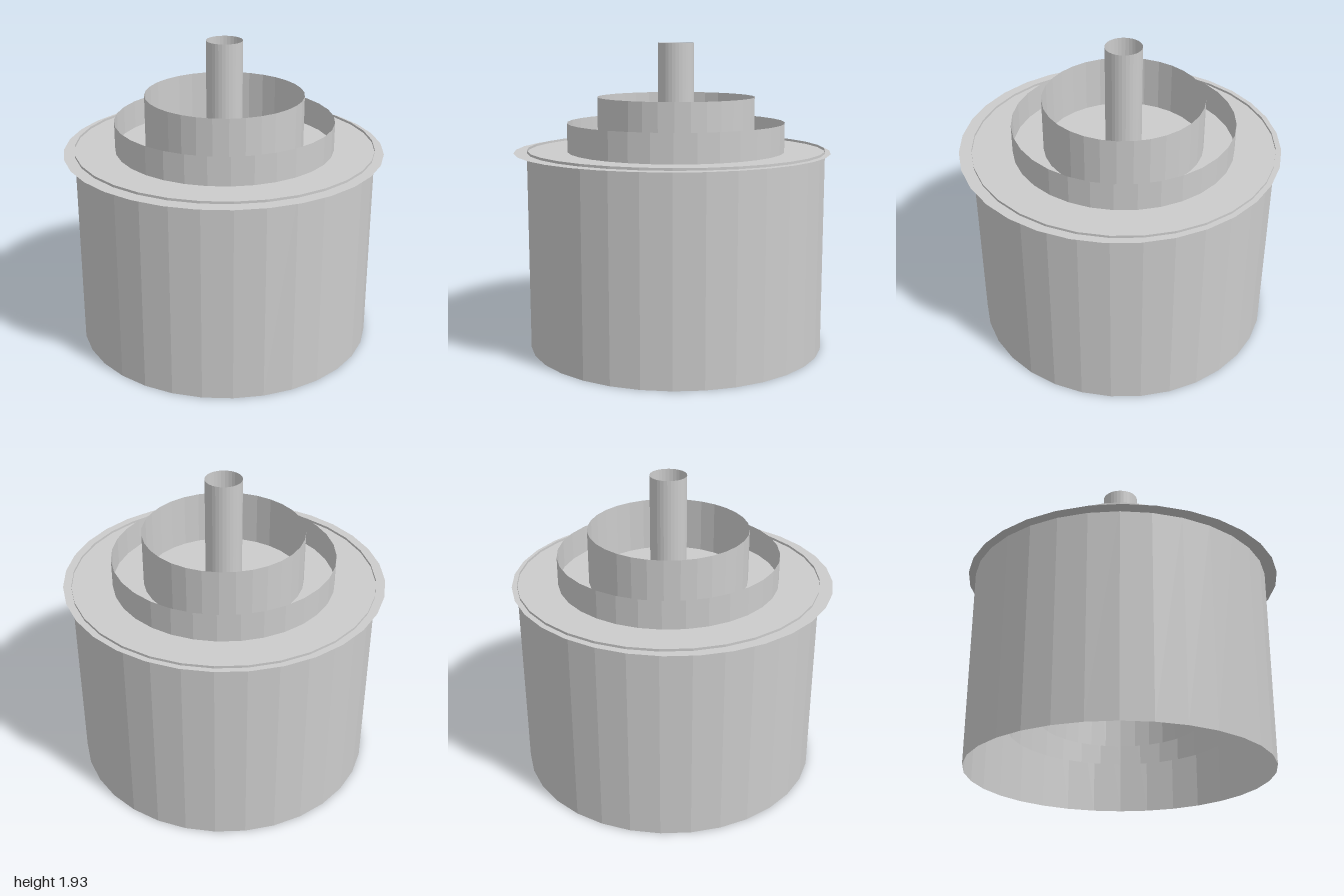
import * as THREE from 'three';

const SIDES = 32;

export function createModel() {
  const group = new THREE.Group();
  const grey = new THREE.MeshStandardMaterial({ color: 0xcccccc, side: THREE.DoubleSide, flatShading: true });
  grey.name = 'light grey';

  // Open tubes, nested on one axis slightly behind the plate centre
  const tubes = [
    { name: 'outerTube', radius: 0.942, bottom: 0, top: 1.27 },
    { name: 'middleTube', radius: 0.69, bottom: 0.26, top: 1.435 },
    { name: 'innerTube', radius: 0.498, bottom: 0.325, top: 1.595 },
    { name: 'centrePipe', radius: 0.113, bottom: 0.66, top: 1.932 },
  ];
  for (const { name, radius, bottom, top } of tubes) {
    const geometry = new THREE.CylinderGeometry(radius, radius, top - bottom, SIDES, 1, true);
    const tube = new THREE.Mesh(geometry, grey);
    tube.name = name;
    tube.position.set(-0.003, (bottom + top) / 2, -0.025);
    group.add(tube);
  }

  // Flat plate just below the rim of the outer tube
  const plate = new THREE.Mesh(new THREE.CircleGeometry(1, SIDES), grey);
  plate.name = 'plate';
  plate.rotation.x = -Math.PI / 2;
  plate.position.y = 1.255;
  group.add(plate);

  return group;
}
